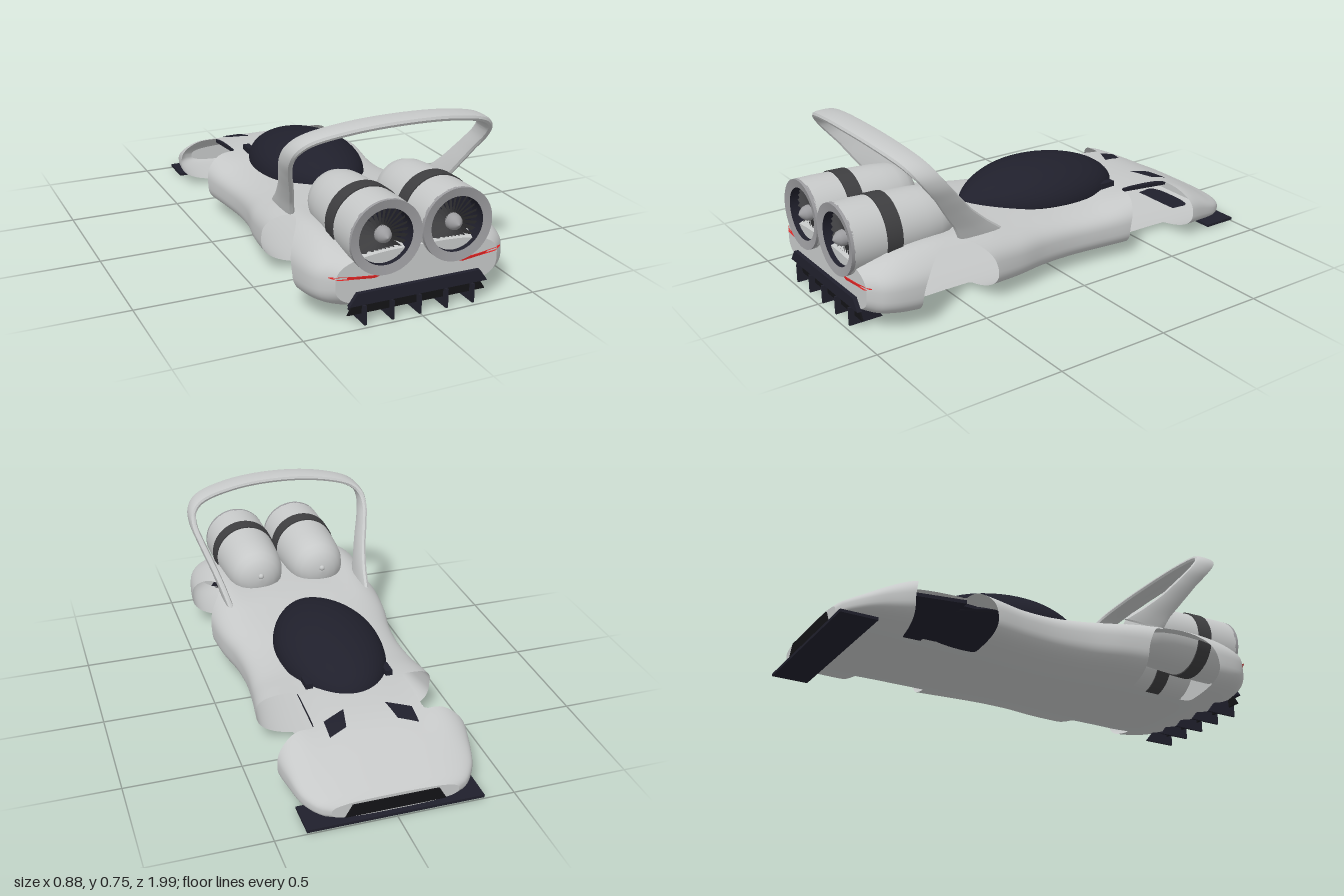
import * as THREE from 'three';
import { mergeVertices, toCreasedNormals } from 'three/addons/utils/BufferGeometryUtils.js';

const mat = (name, color, side = THREE.FrontSide) => {
  const m = new THREE.MeshStandardMaterial({ color, side });
  m.name = name;
  return m;
};

// Hull stations: z, half width, deck height, floor height, fender bulge
const stations = [
  [-0.98, 0.265, 0.1, 0.025, 0], [-0.965, 0.3, 0.112, 0.022, 0], [-0.93, 0.335, 0.13, 0.02, 0],
  [-0.88, 0.365, 0.155, 0.02, 0], [-0.8, 0.387, 0.197, 0.02, 0.008], [-0.7, 0.405, 0.236, 0.02, 0.02],
  [-0.6, 0.397, 0.256, 0.02, 0.028], [-0.45, 0.398, 0.267, 0.02, 0.022], [-0.34, 0.394, 0.266, 0.02, 0.01],
  [-0.2, 0.376, 0.26, 0.02, 0], [-0.05, 0.365, 0.264, 0.02, 0], [0.1, 0.375, 0.278, 0.02, 0],
  [0.25, 0.405, 0.292, 0.02, 0.004], [0.38, 0.418, 0.305, 0.02, 0.015], [0.52, 0.422, 0.31, 0.02, 0.03],
  [0.66, 0.435, 0.31, 0.02, 0.036], [0.8, 0.43, 0.302, 0.03, 0.032], [0.9, 0.404, 0.292, 0.048, 0.012],
  [0.955, 0.35, 0.282, 0.068, 0],
];

// Smooth interpolation between stations
function station(z) {
  let i = 0;
  while (i < stations.length - 2 && z > stations[i + 1][0]) i++;
  const at = k => stations[THREE.MathUtils.clamp(k, 0, stations.length - 1)];
  const [p, a, b, n] = [at(i - 1), at(i), at(i + 1), at(i + 2)];
  const d = b[0] - a[0], t = (z - a[0]) / d, t2 = t * t, t3 = t2 * t;
  return a.map((v, k) => {
    const m0 = (b[k] - p[k]) / (b[0] - p[0]) * d, m1 = (n[k] - v) / (n[0] - a[0]) * d;
    return (2 * t3 - 3 * t2 + 1) * v + (t3 - 2 * t2 + t) * m0 + (3 * t2 - 2 * t3) * b[k] + (t3 - t2) * m1;
  });
}
const fender = (x, bulge) => bulge * Math.exp(-(((Math.abs(x) - 0.34) / 0.09) ** 2));
const root = v => Math.sign(v) * Math.abs(v) ** (2 / 3);

function ringPoint(z, angle) {
  const [, w, top, low, bulge] = station(z);
  const x = w * root(Math.cos(angle)), s = root(Math.sin(angle));
  const y = (top + low) / 2 + s * (top - low) / 2 + (s > 0 ? fender(x, bulge) * s : 0);
  return new THREE.Vector3(x, y, z);
}
function deckY(x, z) {
  const [, w, top, low, bulge] = station(z);
  const s = Math.cbrt(1 - (Math.abs(x) / w) ** 3);
  return (top + low) / 2 + s * (top - low) / 2 + fender(x, bulge) * s;
}

// Positive inside the cylindrical wheel openings
function wheelCut(p) {
  const r = Math.min(Math.hypot(p.z - 0.565, p.y - 0.12), Math.hypot(p.z + 0.525, p.y - 0.12));
  return Math.min(Math.abs(p.x) - 0.235, 0.185 - r);
}

function hullGeometry() {
  const R = 96, N = 130, pos = [], rows = [];
  for (let i = 0; i <= N; i++) {
    const z = THREE.MathUtils.lerp(-0.98, 0.955, i / N);
    rows.push(Array.from({ length: R }, (_, j) => ringPoint(z, j / R * Math.PI * 2)));
  }
  const addClipped = tri => {
    const out = [];
    tri.forEach((p, k) => {
      const q = tri[(k + 1) % 3], fp = wheelCut(p), fq = wheelCut(q);
      if (fp <= 0) out.push(p);
      if ((fp <= 0) !== (fq <= 0)) out.push(p.clone().lerp(q, fp / (fp - fq)));
    });
    for (let k = 1; k < out.length - 1; k++) [out[0], out[k], out[k + 1]].forEach(v => pos.push(v.x, v.y, v.z));
  };
  for (let i = 0; i < N; i++) for (let j = 0; j < R; j++) {
    const k = (j + 1) % R;
    addClipped([rows[i][j], rows[i][k], rows[i + 1][j]]);
    addClipped([rows[i][k], rows[i + 1][k], rows[i + 1][j]]);
  }
  let g = new THREE.BufferGeometry();
  g.setAttribute('position', new THREE.Float32BufferAttribute(pos, 3));
  g = mergeVertices(g, 1e-5);
  g.computeVertexNormals();
  return g;
}

const shapeOf = pts => new THREE.Shape(pts.map(p => new THREE.Vector2(p[0], p[1])));
const plate = (pts, depth) => new THREE.ExtrudeGeometry(shapeOf(pts), { depth, bevelEnabled: false });
const lathe = pts => new THREE.LatheGeometry(pts.map(p => new THREE.Vector2(p[0], p[1])), 48).rotateX(Math.PI / 2);

// Roll hoop: rounded band swept along an arch, wider at its feet
function hoopGeometry() {
  const half = [[0.335, 0.3, 0.42, 0.21], [0.35, 0.36, 0.475, 0.16], [0.376, 0.44, 0.55, 0.125], [0.405, 0.52, 0.615, 0.108],
    [0.425, 0.59, 0.675, 0.105], [0.418, 0.64, 0.715, 0.105], [0.375, 0.68, 0.745, 0.105], [0.22, 0.718, 0.777, 0.11]];
  const all = [...half, [0, 0.732, 0.79, 0.112], ...half.slice().reverse().map(p => [-p[0], p[1], p[2], p[3]])];
  const path = new THREE.CatmullRomCurve3(all.map(p => new THREE.Vector3(p[0], p[1], p[2])));
  const N = 96, S = 12, pos = [], index = [];
  for (let i = 0; i <= N; i++) {
    const t = i / N, c = path.getPoint(t), d = path.getTangent(t);
    const n = new THREE.Vector2(d.y, -d.x).normalize();
    const f = t * (all.length - 1), k = Math.min(Math.floor(f), all.length - 2);
    const w = THREE.MathUtils.lerp(all[k][3], all[k + 1][3], f - k) / 2;
    for (let j = 0; j < S; j++) {
      const a = j / S * Math.PI * 2, h = 0.016 * root(Math.sin(a));
      pos.push(c.x + n.x * h, c.y + n.y * h, c.z + w * root(Math.cos(a)));
    }
  }
  for (let i = 0; i < N; i++) for (let j = 0; j < S; j++) {
    const a = i * S + j, b = i * S + (j + 1) % S;
    index.push(a, b, a + S, b, b + S, a + S);
  }
  const g = new THREE.BufferGeometry();
  g.setAttribute('position', new THREE.Float32BufferAttribute(pos, 3));
  g.setIndex(index);
  return toCreasedNormals(g, 0.7);
}

export function createModel() {
  const group = new THREE.Group();
  const body = mat('silver body', 0xc6c8c8, THREE.DoubleSide);
  const dark = mat('dark navy', 0x20202c, THREE.DoubleSide);
  const black = mat('black', 0x131316, THREE.DoubleSide);
  const band = mat('charcoal', 0x3e3e40, THREE.DoubleSide);
  const lip = mat('intake grey', 0x9c9c9f);
  const red = mat('light red', 0xd82222, THREE.DoubleSide);
  const add = (name, geo, m, parent = group) => {
    const mesh = new THREE.Mesh(geo, m);
    mesh.name = name;
    parent.add(mesh);
    return mesh;
  };

  // Hull and its flat ends
  add('hull', hullGeometry(), body);
  for (const [name, z] of [['tailPanel', 0.955], ['nosePanel', -0.98]]) {
    const pts = Array.from({ length: 96 }, (_, j) => ringPoint(z, j / 96 * Math.PI * 2).toArray());
    const g = new THREE.ShapeGeometry(shapeOf(pts));
    if (z < 0) g.rotateY(Math.PI);
    add(name, g.translate(0, 0, z), body);
  }
  add('roofHoop', hoopGeometry(), body);

  // Egg-shaped canopy, pointed towards +z
  const egg = new THREE.SphereGeometry(1, 48, 32).rotateX(Math.PI / 2), ep = egg.attributes.position;
  for (let i = 0; i < ep.count; i++) {
    const z = ep.getZ(i), y = ep.getY(i), s = z > 0 ? Math.sqrt(Math.max(0, 1 - z * z)) ** 0.45 : 1;
    ep.setXYZ(i, ep.getX(i) * 0.235 * s, 0.262 + z * 0.018 + y * s * (y > 0 ? 0.153 : 0.03), -0.11 + z * (z > 0 ? 0.415 : 0.39));
  }
  egg.computeVertexNormals();
  add('canopy', egg, dark);

  // Dark tray beneath the front deck
  add('deckTray', new THREE.BoxGeometry(0.46, 0.016, 0.29).rotateX(-0.09), dark).position.set(0, 0.238, -0.545);

  // Nose splitter and intake
  add('splitter', new THREE.BoxGeometry(0.74, 0.012, 0.155), dark).position.set(0, 0.015, -0.9225);
  add('noseIntake', plate([[-0.21, 0.035], [0.21, 0.035], [0.18, 0.088], [-0.18, 0.088]], 0.006), black).position.z = -0.987;

  // Diffuser and its fins
  add('diffuserUpper', plate([[-0.3, 0.085], [0.3, 0.085], [0.265, 0.135], [-0.265, 0.135]], 0.02), dark).position.z = 0.953;
  add('diffuserLower', plate([[-0.3, 0.043], [0.3, 0.043], [0.275, 0.085], [-0.275, 0.085]], 0.008), black).position.z = 0.948;
  for (let i = -2; i <= 2; i++) {
    const fin = plate([[-0.98, 0.083], [-0.98, 0.003], [-0.83, 0.003], [-0.88, 0.065]], 0.01).rotateY(Math.PI / 2);
    add('diffuserFin', fin, dark).position.x = i * 0.1175 - 0.005;
  }

  for (const s of [1, -1]) {
    // Deck vent following the surface
    const vent = new THREE.PlaneGeometry(1, 1, 6, 6), vp = vent.attributes.position;
    for (let i = 0; i < vp.count; i++) {
      const u = vp.getX(i) + 0.5, v = vp.getY(i) + 0.5;
      const x = 0.19 - u * (0.08 + 0.02 * v), z = -0.725 + 0.085 * v + u * (0.035 + 0.015 * v);
      vp.setXYZ(i, s * x, deckY(x, z) + 0.005, z);
    }
    vent.computeVertexNormals();
    add('deckVent', vent, dark);

    // Canopy hinge block and side knob
    add('canopyBlock', new THREE.BoxGeometry(0.03, 0.04, 0.07), dark).position.set(s * 0.178, 0.268, -0.372);
    add('canopyKnob', new THREE.SphereGeometry(0.015, 16, 12), dark).position.set(s * 0.176, 0.327, 0.03);

    // Tail light wrapping round the corner
    const light = plate([[0.165, 0.188], [0.19, 0.181], [0.27, 0.19], [0.34, 0.197], [0.372, 0.208], [0.34, 0.209], [0.27, 0.199]], 0.006);
    const lp = light.attributes.position;
    for (let i = 0; i < lp.count; i++) {
      const x = lp.getX(i);
      lp.setXYZ(i, s * x, lp.getY(i), lp.getZ(i) + 0.954 - Math.max(0, x - 0.34) * 0.5);
    }
    light.computeVertexNormals();
    add('tailLight', light, red);

    // Jet engine
    const engine = new THREE.Group();
    engine.name = s > 0 ? 'leftEngine' : 'rightEngine';
    engine.position.set(s * 0.152, 0.347, 0);
    group.add(engine);
    add('nacelle', lathe([[0, 0.458], [0.03, 0.46], [0.065, 0.47], [0.095, 0.49], [0.117, 0.52], [0.131, 0.565], [0.138, 0.63],
      [0.142, 0.7], [0.146, 0.8], [0.15, 0.9], [0.15, 0.97]]), body, engine);
    add('intakeLip', lathe([[0.15, 0.965], [0.15, 0.983], [0.15, 0.983], [0.113, 0.976]]), lip, engine);
    add('intakeDuct', lathe([[0.113, 0.976], [0.111, 0.9], [0.111, 0.9], [0, 0.9]]), dark, engine);
    add('engineBand', lathe([[0.143, 0.755], [0.15, 0.755], [0.15, 0.755], [0.152, 0.825], [0.152, 0.825], [0.146, 0.825]]), band, engine);
    add('hub', lathe([[0.033, 0.9], [0.033, 0.95], [0.028, 0.966], [0.016, 0.98], [0, 0.992]]), lip, engine);
    add('tailKnob', new THREE.SphereGeometry(0.013, 16, 12), body, engine).position.set(0, 0.02, 0.459);
    for (let i = 0; i < 26; i++) {
      const blade = new THREE.PlaneGeometry(0.08, 0.022).rotateX(0.65).translate(0.071, 0, 0.935);
      add('fanBlade', blade.rotateZ(i / 26 * Math.PI * 2), band, engine);
    }
  }
  return group;
}
